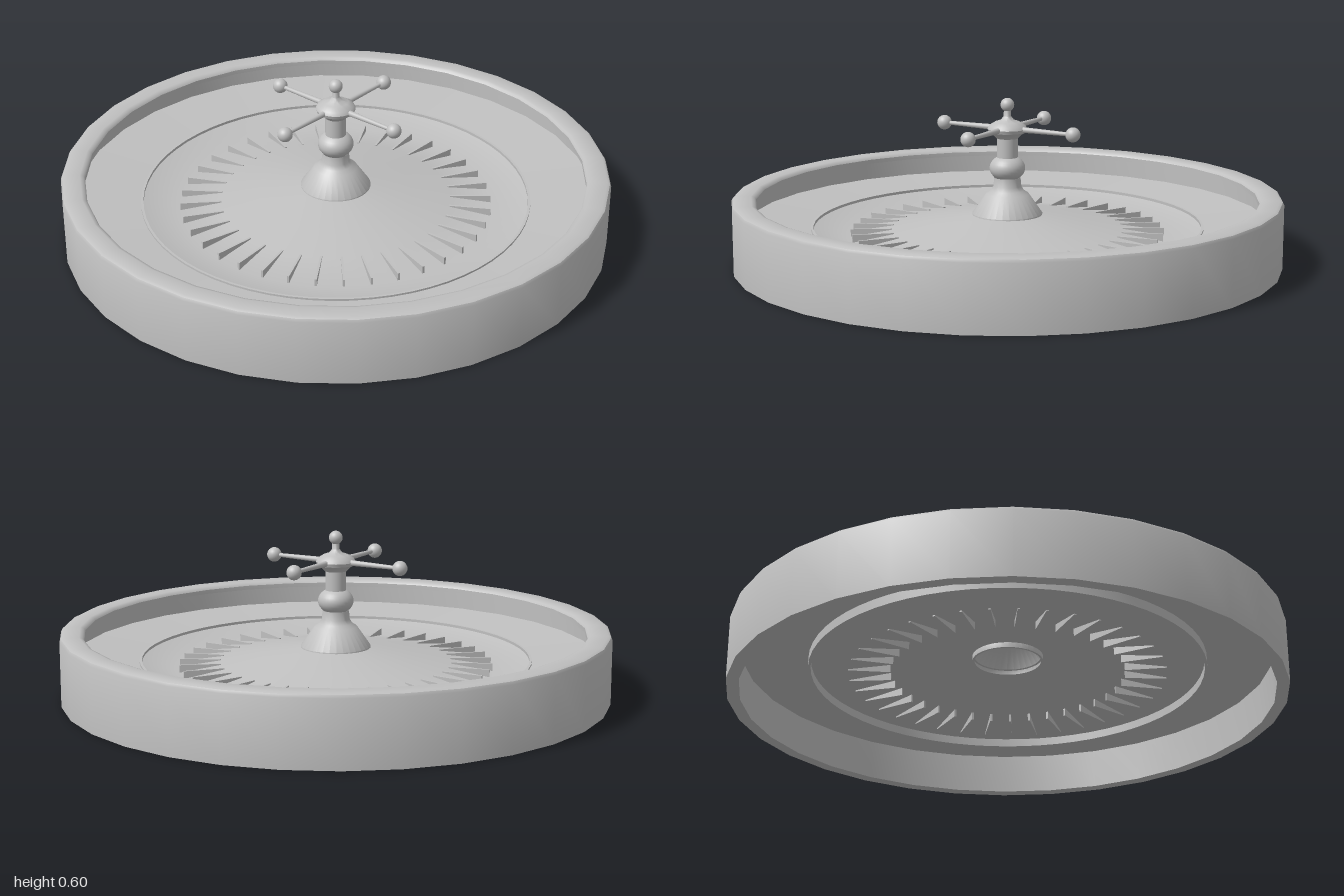
import * as THREE from 'three';
import { toCreasedNormals } from 'three/addons/utils/BufferGeometryUtils.js';

export function createModel() {
  const model = new THREE.Group();
  model.name = 'rouletteWheel';
  const grey = new THREE.MeshStandardMaterial({ color: 0xc0c0c0, side: THREE.DoubleSide });
  grey.name = 'plain grey';

  const add = (name, geometry, parent = model) => {
    const mesh = new THREE.Mesh(geometry, grey);
    mesh.name = name;
    parent.add(mesh);
    return mesh;
  };
  // Turned part from [radius, height] pairs, keeping sharp profile edges
  const turned = (points, segments) => toCreasedNormals(
    new THREE.LatheGeometry(points.map(([r, y]) => new THREE.Vector2(r, y)), segments),
    Math.PI / 5);

  // Outer casing: straight wall with an overhanging lip
  add('casing', turned([
    [0.955, 0], [1, 0], [1, 0.235], [0.995, 0.245], [0.985, 0.25],
    [0.93, 0.25], [0.918, 0.246], [0.912, 0.238], [0.912, 0.222],
    [0.955, 0.222], [0.955, 0],
  ], 32));

  // Sloping ball track
  add('ballTrack', turned([[0.715, 0.133], [0.957, 0.15]], 64));

  // Thin flange between the track and the rotor
  add('rotorRim', turned([
    [0.706, 0.1], [0.715, 0.1], [0.715, 0.14], [0.706, 0.14], [0.706, 0.1],
  ], 64));

  // Rotor: inward slope, pocket ring and raised centre
  add('rotor', turned([
    [0.706, 0.13], [0.575, 0.096], [0.43, 0.119], [0.28, 0.15], [0.12, 0.175],
  ], 64));

  // Pocket dividers
  const dividers = new THREE.Group();
  dividers.name = 'pocketDividers';
  model.add(dividers);
  const count = 37;
  const dividerGeometry = new THREE.BoxGeometry(0.15, 0.032, 0.008).translate(0.497, 0.108, 0);
  for (let i = 0; i < count; i++) {
    add('divider', dividerGeometry, dividers).rotation.y = (i / count) * Math.PI * 2;
  }

  // Spindle foot, round knob and column
  add('spindleFoot', turned([
    [0.12, 0.155], [0.128, 0.155], [0.128, 0.178], [0.078, 0.25],
    [0.06, 0.262], [0.051, 0.278], [0.048, 0.31],
  ], 32));
  add('spindleKnob', new THREE.SphereGeometry(0.065, 32, 16).scale(1, 0.75, 1).translate(0, 0.345, 0));
  add('spindleColumn', new THREE.CylinderGeometry(0.038, 0.038, 0.1, 32).translate(0, 0.425, 0));

  // Turret hub with a slim finial
  add('hub', turned([
    [0, 0.455], [0.04, 0.455], [0.052, 0.468], [0.068, 0.478], [0.072, 0.49],
    [0.066, 0.502], [0.045, 0.515], [0.024, 0.522], [0.014, 0.535], [0.012, 0.57],
  ], 32));
  add('finialBall', new THREE.SphereGeometry(0.025, 24, 16).translate(0, 0.577, 0));

  // Four tapered arms with ball ends
  const rod = new THREE.CylinderGeometry(0.007, 0.011, 0.23, 16)
    .rotateZ(-Math.PI / 2).translate(0.155, 0.49, 0);
  const ball = new THREE.SphereGeometry(0.027, 24, 16).translate(0.27, 0.49, 0);
  for (let i = 0; i < 4; i++) {
    const arm = new THREE.Group();
    arm.name = 'turretArm';
    arm.rotation.y = (i * Math.PI) / 2;
    add('armRod', rod, arm);
    add('armBall', ball, arm);
    model.add(arm);
  }

  return model;
}
